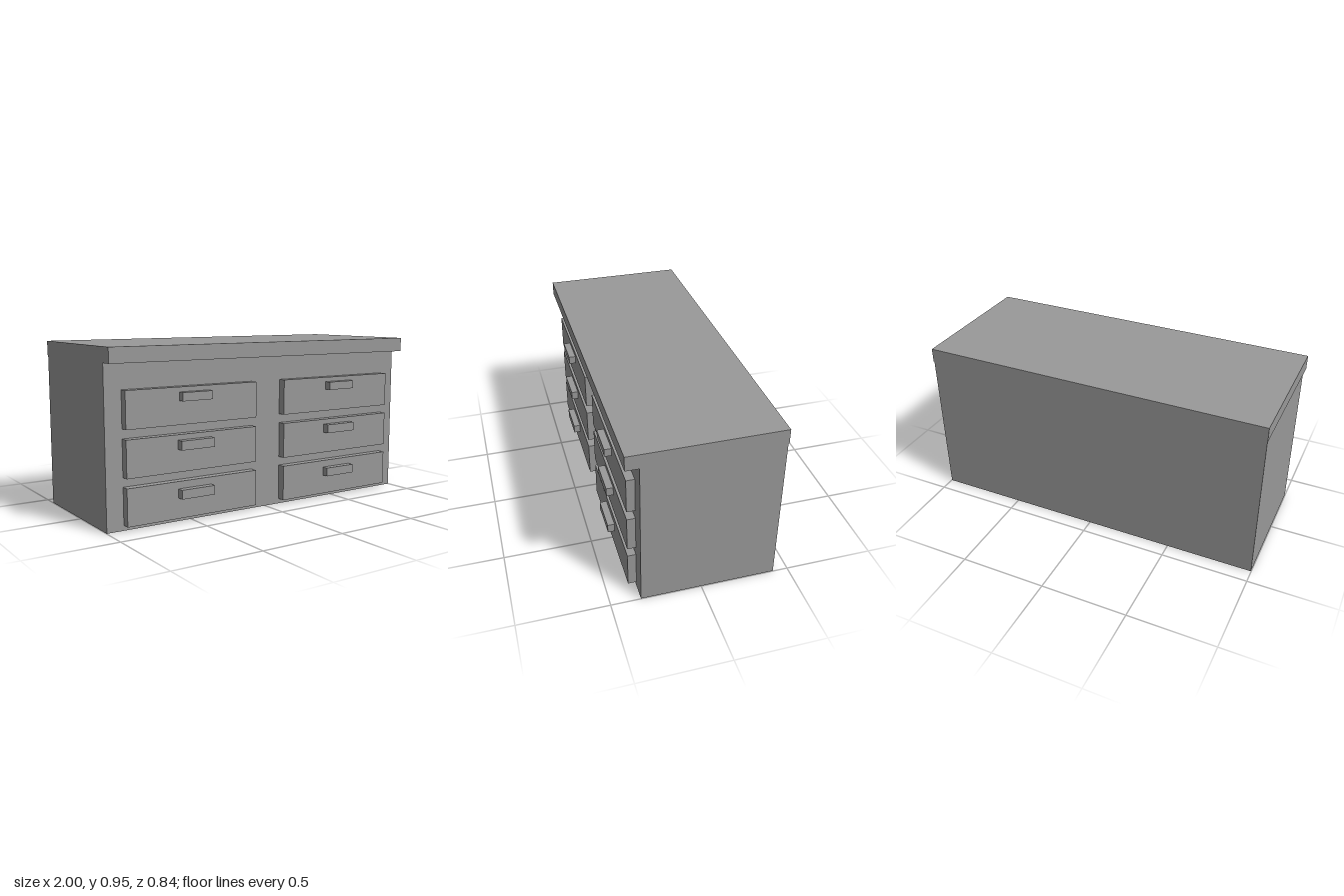
import * as THREE from 'three';

// Box given by its minimum and maximum corners
function block(name, material, [x0, y0, z0], [x1, y1, z1]) {
  const mesh = new THREE.Mesh(new THREE.BoxGeometry(x1 - x0, y1 - y0, z1 - z0), material);
  mesh.position.set((x0 + x1) / 2, (y0 + y1) / 2, (z0 + z1) / 2);
  mesh.name = name;
  return mesh;
}

export function createModel() {
  const model = new THREE.Group();
  model.name = 'dresser';

  const grey = new THREE.MeshStandardMaterial({ color: 0x999999 });
  grey.name = 'plain grey';

  // Cabinet body and the top that overhangs the front
  model.add(block('cabinetBody', grey, [-0.998, 0, -0.416], [0.998, 0.87, 0.335]));
  model.add(block('topSlab', grey, [-1, 0.87, -0.42], [1, 0.952, 0.408]));

  // Three rows of drawers in two columns; the top row has narrower handles
  const rows = [
    { bottom: 0.028, top: 0.23, handle: [0.14, 0.19], halfWidth: 0.102 },
    { bottom: 0.28, top: 0.481, handle: [0.402, 0.452], halfWidth: 0.102 },
    { bottom: 0.532, top: 0.732, handle: [0.66, 0.706], halfWidth: 0.092 },
  ];
  for (const x of [-0.5, 0.5]) {
    for (const { bottom, top, handle, halfWidth } of rows) {
      const drawer = new THREE.Group();
      drawer.name = 'drawer';
      drawer.add(block('drawerFront', grey, [x - 0.402, bottom, 0.33], [x + 0.402, top, 0.381]));
      drawer.add(block('drawerHandle', grey,
        [x - halfWidth, handle[0], 0.378], [x + halfWidth, handle[1], 0.42]));
      model.add(drawer);
    }
  }
  return model;
}
